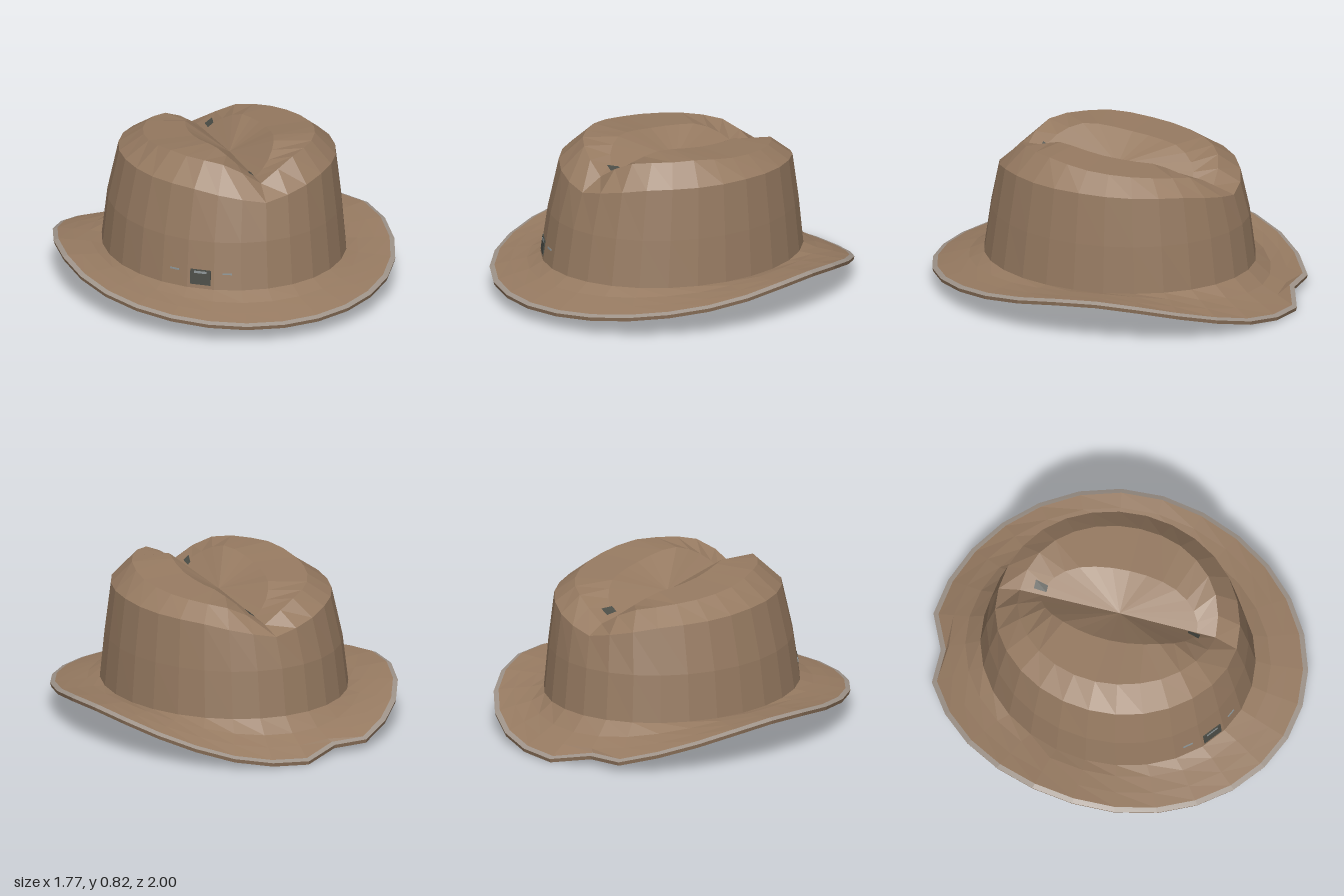
import * as THREE from 'three';

const SEG = 28;

const mat = (name, color, flat = true) => {
  const m = new THREE.MeshStandardMaterial({ color });
  m.name = name;
  m.flatShading = flat;
  return m;
};

// Piecewise linear lookup through [position, value] pairs
function lookup(pairs, t) {
  if (t <= pairs[0][0]) return pairs[0][1];
  for (let i = 1; i < pairs.length; i++) {
    const [a, va] = pairs[i - 1], [b, vb] = pairs[i];
    if (t <= b) return va + (vb - va) * (t - a) / (b - a);
  }
  return pairs[pairs.length - 1][1];
}

// Oval ring starting at the back and running towards +x; y is a rule of (x, z, cos)
function ring(rx, rz, cx, cz, y) {
  const pts = [];
  for (let k = 0; k < SEG; k++) {
    const a = k / SEG * Math.PI * 2, s = Math.sin(a), c = -Math.cos(a);
    const x = cx + rx * s, z = cz + rz * c;
    pts.push([x, y(x, z, c), z]);
  }
  return pts;
}

// Skin a list of rings; a ring of one point closes the surface as a fan
function loft(name, rings, material) {
  const pos = [];
  for (let i = 0; i < rings.length - 1; i++) {
    const A = rings[i], B = rings[i + 1];
    for (let k = 0; k < SEG; k++) {
      const n = (k + 1) % SEG;
      const p = A[k % A.length], q = A[n % A.length], r = B[n % B.length], s = B[k % B.length];
      if (A.length > 1) pos.push(...p, ...q, ...s);
      if (B.length > 1) pos.push(...q, ...r, ...s);
    }
  }
  const g = new THREE.BufferGeometry();
  g.setAttribute('position', new THREE.Float32BufferAttribute(pos, 3));
  g.computeVertexNormals();
  const mesh = new THREE.Mesh(g, material);
  mesh.name = name;
  return mesh;
}

// Creased top of the crown: a V groove running front to back at x = 0.03
const ridge = [[-0.54, 0.73], [-0.4, 0.765], [0, 0.80], [0.2, 0.825], [0.42, 0.82], [0.52, 0.795]];
const crease = [[-0.54, 0.64], [0, 0.685], [0.52, 0.70]];
function crownTop(x, z) {
  const low = lookup(crease, z), high = lookup(ridge, z);
  return low + (high - low) * Math.min(1, Math.abs(x - 0.03) / 0.15);
}

// Shoulder line of the crown, dipping at the front and back
function shoulder(x, z) {
  const dip = Math.max(0, 1 - Math.abs(x - 0.02) / 0.38) * (z > 0 ? 0.075 : 0.08);
  return 0.71 - 0.04 * Math.max(0, -z) - dip;
}

// Brim height, blended from the crown base (t = 0) to the outer edge (t = 1)
const edge = [[-1, 0.03], [-0.75, 0.125], [-0.5, 0.195], [-0.22, 0.225], [0, 0.217], [0.45, 0.16], [1, 0.10]];
const brimY = (t, drop = 0) => (x, z, c) => 0.19 + (lookup(edge, c) - 0.19) * t - drop;

// Outer brim rings have a pinched vertex at the back
function brimRing(rx, rz, drop) {
  const r = ring(rx, rz, 0, 0, brimY(1, drop));
  r[SEG - 1][2] += 0.07;
  r[SEG - 1][1] += 0.025;
  return r;
}

export function createModel() {
  const group = new THREE.Group();
  const felt = mat('brown felt', 0x967a61);
  const trim = mat('grey trim', 0x9e9389);
  const lining = mat('dark lining', 0x50534b);
  const dark = mat('dark mark', 0x4a4c45);
  const blue = mat('blue grey mark', 0x8a9294);
  dark.side = THREE.DoubleSide;

  // Crown: creased top, sloping shoulder and tall wall
  const base = ring(0.63, 0.725, 0, 0, () => 0.19);
  group.add(loft('crown', [
    [[0.03, crownTop(0.03, 0), 0]],
    ring(0.2, 0.42, 0.03, 0, crownTop),
    ring(0.44, 0.53, 0.03, -0.01, crownTop),
    ring(0.56, 0.645, 0.02, -0.008, shoulder),
    ring(0.605, 0.69, 0.005, -0.004, () => 0.44),
    base,
  ], felt));

  // Brim upper face, light bevelled trim and lower face
  const topEdge = brimRing(0.86, 0.973, 0);
  const bevel = brimRing(0.885, 1.0, 0.01);
  const under = ring(0.74, 0.84, 0, 0, brimY(0.6, 0.03));
  group.add(loft('brimTop', [
    base,
    ring(0.69, 0.805, 0, 0, brimY(0.45)),
    ring(0.78, 0.89, 0, 0, brimY(0.72)),
    topEdge,
  ], felt));
  group.add(loft('brimTrim', [topEdge, bevel], trim));
  group.add(loft('brimUnderside', [bevel, brimRing(0.88, 0.994, 0.03), under], felt));

  // Lining: sweatband, inner wall and inside of the creased top
  group.add(loft('lining', [
    under,
    ring(0.605, 0.69, 0, 0, () => 0.165),
    ring(0.58, 0.665, 0.005, 0, () => 0.44),
    ring(0.53, 0.615, 0.02, -0.008, (x, z) => shoulder(x, z) - 0.03),
    ring(0.41, 0.5, 0.03, -0.01, (x, z) => crownTop(x, z) - 0.03),
    ring(0.2, 0.4, 0.03, 0, (x, z) => crownTop(x, z) - 0.03),
    [[0.03, 0.655, 0]],
  ], lining));

  // Small flat marks on the front of the crown, one per wall facet
  const wallMark = (name, facet, w, h, y, material, lift) => {
    const a = (facet + 0.5) / SEG * Math.PI * 2;
    const flat = Math.cos(Math.PI / SEG), t = (y - 0.19) / 0.25;
    const mark = new THREE.Mesh(new THREE.BoxGeometry(w, h, 0.006), material);
    const ry = -Math.atan2(Math.sin(a) / 0.62, Math.cos(a) / 0.715);
    mark.position.set(
      -(0.63 - 0.025 * t) * Math.sin(a) * flat + Math.sin(ry) * lift, y,
      (0.725 - 0.035 * t) * Math.cos(a) * flat + Math.cos(ry) * lift);
    mark.rotation.set(-0.12, ry, 0, 'YXZ');
    mark.name = name;
    group.add(mark);
  };
  wallMark('frontPatch', 2, 0.112, 0.08, 0.25, dark, 0.001);
  wallMark('patchLine', 2, 0.07, 0.012, 0.277, blue, 0.003);
  wallMark('innerLine', 1, 0.05, 0.008, 0.275, blue, 0);
  wallMark('outerLine', 3, 0.055, 0.008, 0.275, blue, 0);

  // Small dark marks lying in the crease
  const creaseMark = (name, corners) => {
    const v = corners.map(([x, z]) => [x, crownTop(x, z) + 0.006, z]);
    const g = new THREE.BufferGeometry();
    g.setAttribute('position', new THREE.Float32BufferAttribute(
      [v[0], v[1], v[2], v[0], v[2], v[3]].flat(), 3));
    g.computeVertexNormals();
    const mark = new THREE.Mesh(g, dark);
    mark.name = name;
    group.add(mark);
  };
  creaseMark('backCreaseMark', [[0.045, -0.4], [0.075, -0.4], [0.09, -0.47], [0.05, -0.47]]);
  creaseMark('frontCreaseMark', [[-0.012, 0.44], [0.018, 0.44], [0.025, 0.375], [0.01, 0.375]]);

  return group;
}
